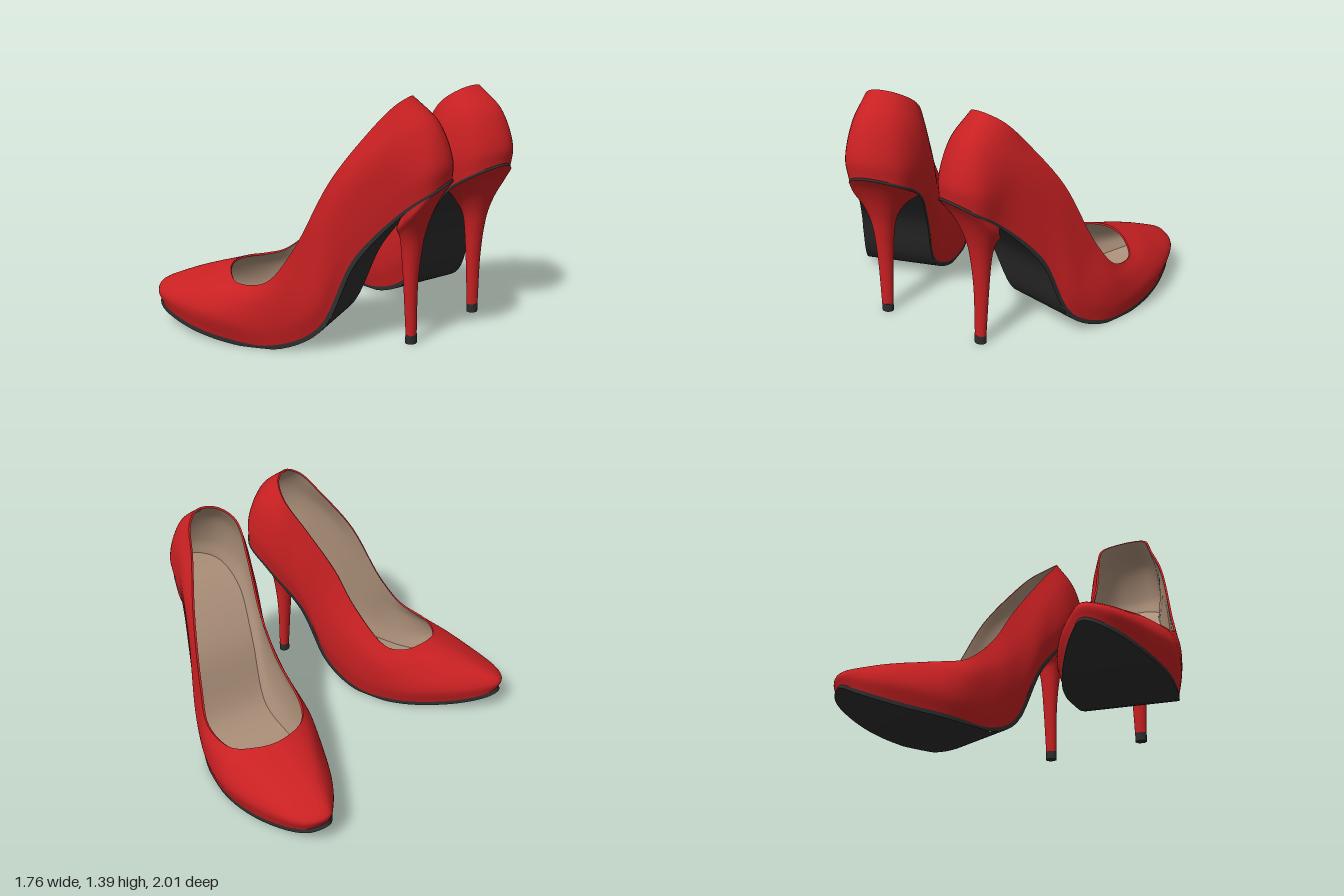
import * as THREE from 'three';

const red = new THREE.MeshStandardMaterial({ color: 0xc82022 });
red.name = 'red leather';
const tan = new THREE.MeshStandardMaterial({ color: 0xab8f79, side: THREE.DoubleSide });
tan.name = 'tan lining';
const dark = new THREE.MeshStandardMaterial({ color: 0x2d2d2d });
dark.name = 'dark rubber';

// Closed curve around the shoe: toe, outer side, heel back, inner side (x, y, z triples)
function ring(numbers) {
  const points = [];
  for (let i = 0; i < numbers.length; i += 3) points.push(new THREE.Vector3(...numbers.slice(i, i + 3)));
  const curve = new THREE.CatmullRomCurve3(points, true);
  return (t) => curve.getPoint(((t % 1) + 1) % 1);
}

const featherEdge = ring([
  -0.865, 0.155, 0.78, -0.8, 0.122, 0.88, -0.55, 0.068, 0.955, -0.25, 0.033, 0.96, 0.03, 0.023, 0.885,
  0.25, 0.13, 0.768, 0.42, 0.53, 0.665, 0.64, 0.79, 0.535, 0.79, 0.905, 0.47,
  0.828, 0.955, 0.34, 0.725, 0.905, 0.18, 0.54, 0.785, 0.165, 0.33, 0.53, 0.25, 0.145, 0.13, 0.315,
  -0.09, 0.023, 0.33, -0.36, 0.033, 0.385, -0.63, 0.068, 0.54, -0.815, 0.122, 0.695]);
const lowerBulge = ring([
  -0.88, 0.215, 0.78, -0.81, 0.195, 0.895, -0.55, 0.18, 0.978, -0.25, 0.165, 0.998, 0.03, 0.14, 0.91,
  0.24, 0.25, 0.8, 0.39, 0.67, 0.695, 0.61, 0.92, 0.565, 0.795, 1.03, 0.485,
  0.835, 1.05, 0.355, 0.735, 1.03, 0.185, 0.53, 0.94, 0.137, 0.33, 0.7, 0.205, 0.145, 0.3, 0.272,
  -0.09, 0.17, 0.298, -0.36, 0.14, 0.355, -0.63, 0.17, 0.512, -0.815, 0.195, 0.68]);
const upperBulge = ring([
  -0.72, 0.3, 0.735, -0.62, 0.31, 0.8, -0.46, 0.3, 0.9, -0.23, 0.28, 0.958, 0.01, 0.29, 0.92,
  0.19, 0.43, 0.815, 0.34, 0.83, 0.72, 0.53, 1.1, 0.6, 0.72, 1.23, 0.475,
  0.755, 1.26, 0.38, 0.675, 1.235, 0.222, 0.505, 1.16, 0.16, 0.33, 0.93, 0.205, 0.15, 0.58, 0.267,
  -0.05, 0.41, 0.295, -0.3, 0.31, 0.345, -0.5, 0.31, 0.495, -0.64, 0.315, 0.625]);
const topline = ring([
  -0.4, 0.4, 0.65, -0.385, 0.39, 0.72, -0.33, 0.372, 0.8, -0.2, 0.348, 0.895, 0, 0.385, 0.895,
  0.13, 0.56, 0.83, 0.3, 0.95, 0.712, 0.45, 1.2, 0.58, 0.56, 1.343, 0.495,
  0.6, 1.39, 0.4, 0.56, 1.375, 0.285, 0.46, 1.3, 0.22, 0.31, 1.11, 0.265, 0.14, 0.86, 0.335,
  -0.02, 0.62, 0.36, -0.25, 0.42, 0.385, -0.345, 0.395, 0.46, -0.39, 0.4, 0.56]);

// Grid surface from fn(u, v); its front faces du x dv
function surface(nu, nv, closed, fn) {
  const positions = [], index = [];
  const columns = closed ? nu : nu + 1;
  for (let j = 0; j <= nv; j++)
    for (let i = 0; i < columns; i++) positions.push(...fn(i / nu, j / nv, i, j).toArray());
  for (let j = 0; j < nv; j++)
    for (let i = 0; i < nu; i++) {
      const a = j * columns + i, b = j * columns + ((i + 1) % columns);
      index.push(a, b, b + columns, a, b + columns, a + columns);
    }
  const geometry = new THREE.BufferGeometry();
  geometry.setAttribute('position', new THREE.Float32BufferAttribute(positions, 3));
  geometry.setIndex(index);
  geometry.computeVertexNormals();
  return geometry;
}

// Smooth skin through a stack of closed rings
function skin(rings, nu, nv) {
  return surface(nu, nv, true, (u, v) => new THREE.CatmullRomCurve3(rings.map((r) => r(u))).getPoint(v));
}

// Feather edge moved square to the slope of the sole
function soleRing(t, distance) {
  const s = THREE.MathUtils.clamp(t > 0.5 ? 1 - t : t, 0.04, 0.46);
  const mid = (k) => featherEdge(k).add(featherEdge(1 - k));
  const slope = mid(s + 0.01).sub(mid(s - 0.01));
  const across = featherEdge(s).sub(featherEdge(1 - s));
  const p = featherEdge(t).addScaledVector(slope.cross(across).normalize(), distance);
  p.y = Math.max(0, p.y);
  return p;
}

// Lower edge of the sole, thinner under the heel seat
function soleBottom(t) {
  const s = t > 0.5 ? 1 - t : t;
  return soleRing(t, 0.025 - 0.011 * THREE.MathUtils.smoothstep(s, 0.33, 0.42));
}

// Heel section, turned with the shoe: front and back x, front and back y, centre z, half width
function heelRing([x0, x1, y0, y1, z, halfWidth]) {
  return (t) => {
    const along = -Math.cos(t * Math.PI * 2) / 2, side = halfWidth * Math.sin(t * Math.PI * 2);
    return new THREE.Vector3(
      (x0 + x1) / 2 + (x1 - x0) * along + side * 0.2,
      (y0 + y1) / 2 + (y1 - y0) * along,
      z + side - (x1 - x0) * along * 0.2);
  };
}

// Heel top: follows the sole edge round the back, with a rounded breast in front
function heelSeat(t) {
  const a = t - 0.5;
  if (Math.abs(a) <= 0.3) return soleBottom(0.5 + a * 0.36);
  const across = ((t + 0.2) % 1) / 0.4;
  const bulge = 0.07 * Math.sin(Math.PI * across);
  return soleBottom(0.608).lerp(soleBottom(0.392), across).add(new THREE.Vector3(-bulge, -bulge * 0.75, 0));
}

function createShoe(name, mirrored) {
  const shoe = new THREE.Group();
  shoe.name = name;
  const add = (part, geometry, material) => {
    if (mirrored) {
      geometry.scale(1, 1, -1);
      const index = geometry.index.array;
      for (let i = 0; i < index.length; i += 3) [index[i], index[i + 1]] = [index[i + 1], index[i]];
      geometry.computeVertexNormals();
    }
    const mesh = new THREE.Mesh(geometry, material);
    mesh.name = part;
    shoe.add(mesh);
  };

  // Upper, with an inset lining and a thin rim joining them
  const N = 108, V = 20;
  const upper = skin([featherEdge, lowerBulge, upperBulge, topline], N, V);
  const position = upper.attributes.position, normal = upper.attributes.normal;
  const point = (i, j, inset) => {
    const k = j * N + (i % N);
    return new THREE.Vector3().fromBufferAttribute(position, k)
      .addScaledVector(new THREE.Vector3().fromBufferAttribute(normal, k), -inset);
  };
  const lining = surface(N, V, true, (u, v, i, j) => point(N - i, j, 0.012));
  const rim = surface(N, 1, true, (u, v, i, j) => point(i, V, j * 0.012));
  add('upper', upper, red);
  add('lining', lining, tan);
  add('toplineRim', rim, red);

  // Footbed, sole edge and underside
  add('insole', surface(60, 6, false, (u, v) =>
    soleRing(u / 2, -0.015).lerp(soleRing(1 - u / 2, -0.015), 0.02 + 0.96 * v)), tan);
  add('soleEdge', surface(N, 1, true, (u, v) => soleBottom(u).lerp(featherEdge(u), v)), dark);
  add('outsole', surface(60, 6, false, (u, v) =>
    soleBottom(1 - u / 2).lerp(soleBottom(u / 2), v)), dark);

  // Flared stiletto heel and its tip
  add('heel', skin([
    ...[
      [0.585, 0.645, 0.05, 0.05, 0.372, 0.035],
      [0.57, 0.65, 0.35, 0.35, 0.375, 0.047],
      [0.56, 0.67, 0.5, 0.54, 0.375, 0.06],
      [0.555, 0.69, 0.58, 0.65, 0.375, 0.078],
      [0.55, 0.73, 0.625, 0.77, 0.372, 0.11],
      [0.535, 0.78, 0.66, 0.87, 0.365, 0.15],
    ].map(heelRing),
    heelSeat,
  ], 40, 36), red);
  add('heelTip', new THREE.CylinderGeometry(0.036, 0.036, 0.052, 28)
    .scale(0.88, 1, 1).translate(0.615, 0.026, 0.372), dark);
  return shoe;
}

export function createModel() {
  const model = new THREE.Group();
  model.name = 'pairOfHighHeels';
  const nearShoe = createShoe('frontShoe', false);
  const farShoe = createShoe('backShoe', true);
  farShoe.rotation.y = -0.087;
  farShoe.position.set(0.014, 0, 0.023);
  model.add(nearShoe, farShoe);
  return model;
}
